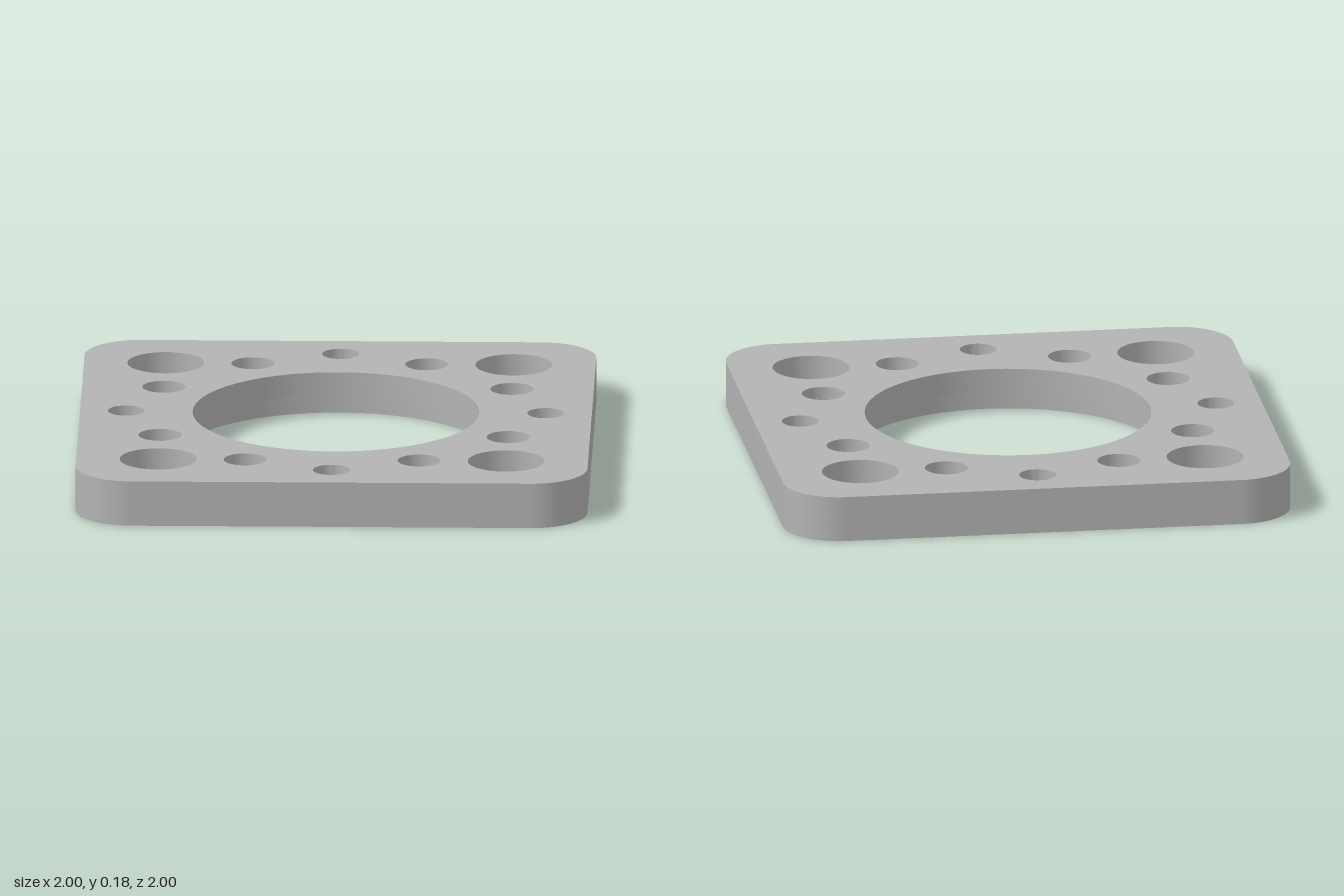
import * as THREE from 'three';
import { toCreasedNormals } from 'three/addons/utils/BufferGeometryUtils.js';

const HEIGHT = 0.18, STEP = 0.09, CORNER = 0.22;
const BORE = 0.56, COUNTERBORE = 0.617, SEGMENTS = 48;

// Rounded square outline with all bolt holes and a central bore
function plateShape(boreRadius) {
  const s = new THREE.Shape(), c = 1 - CORNER;
  for (let i = 0; i < 4; i++) {
    const a = i * Math.PI / 2;
    const x = i === 0 || i === 3 ? c : -c, y = i < 2 ? c : -c;
    s.absarc(x, y, CORNER, a, a + Math.PI / 2, false);
  }
  s.closePath();

  const hole = (x, y, r) => s.holes.push(new THREE.Path().absarc(x, y, r, 0, Math.PI * 2, true));
  hole(0, 0, boreRadius);
  for (const u of [-1, 1]) {
    hole(0.82 * u, 0, 0.072);
    hole(0, 0.82 * u, 0.072);
    for (const v of [-1, 1]) {
      hole(0.68 * u, 0.68 * v, 0.15);
      hole(0.34 * u, 0.68 * v, 0.084);
      hole(0.68 * u, 0.34 * v, 0.084);
    }
  }
  return s;
}

// One layer of the plate, without the cap that would lie inside the solid
function plateLayer(boreRadius, y0, y1) {
  const g = new THREE.ExtrudeGeometry(plateShape(boreRadius), {
    depth: y1 - y0, bevelEnabled: false, curveSegments: SEGMENTS,
  });
  g.translate(0, 0, y0);
  g.rotateX(-Math.PI / 2);
  const p = g.attributes.position, kept = [];
  for (let i = 0; i < p.count; i += 3) {
    const inner = [0, 1, 2].every((k) => Math.abs(p.getY(i + k) - STEP) < 1e-5);
    if (!inner) for (let k = 0; k < 3; k++) kept.push(p.getX(i + k), p.getY(i + k), p.getZ(i + k));
  }
  const out = new THREE.BufferGeometry();
  out.setAttribute('position', new THREE.Float32BufferAttribute(kept, 3));
  return toCreasedNormals(out, Math.PI / 6);
}

export function createModel() {
  const group = new THREE.Group();
  group.name = 'mountingPlate';
  const metal = new THREE.MeshStandardMaterial({ color: 0xb3b3b3 });
  metal.name = 'plain grey';

  const add = (name, geometry) => {
    const mesh = new THREE.Mesh(geometry, metal);
    mesh.name = name;
    group.add(mesh);
  };

  add('upperPlate', plateLayer(BORE, STEP, HEIGHT));
  add('lowerPlate', plateLayer(COUNTERBORE, 0, STEP));

  // Downward-facing shoulder between the two bore diameters
  const ledge = new THREE.RingGeometry(BORE, COUNTERBORE, SEGMENTS * 2);
  ledge.rotateX(Math.PI / 2);
  ledge.translate(0, STEP, 0);
  add('boreShoulder', ledge);

  return group;
}
